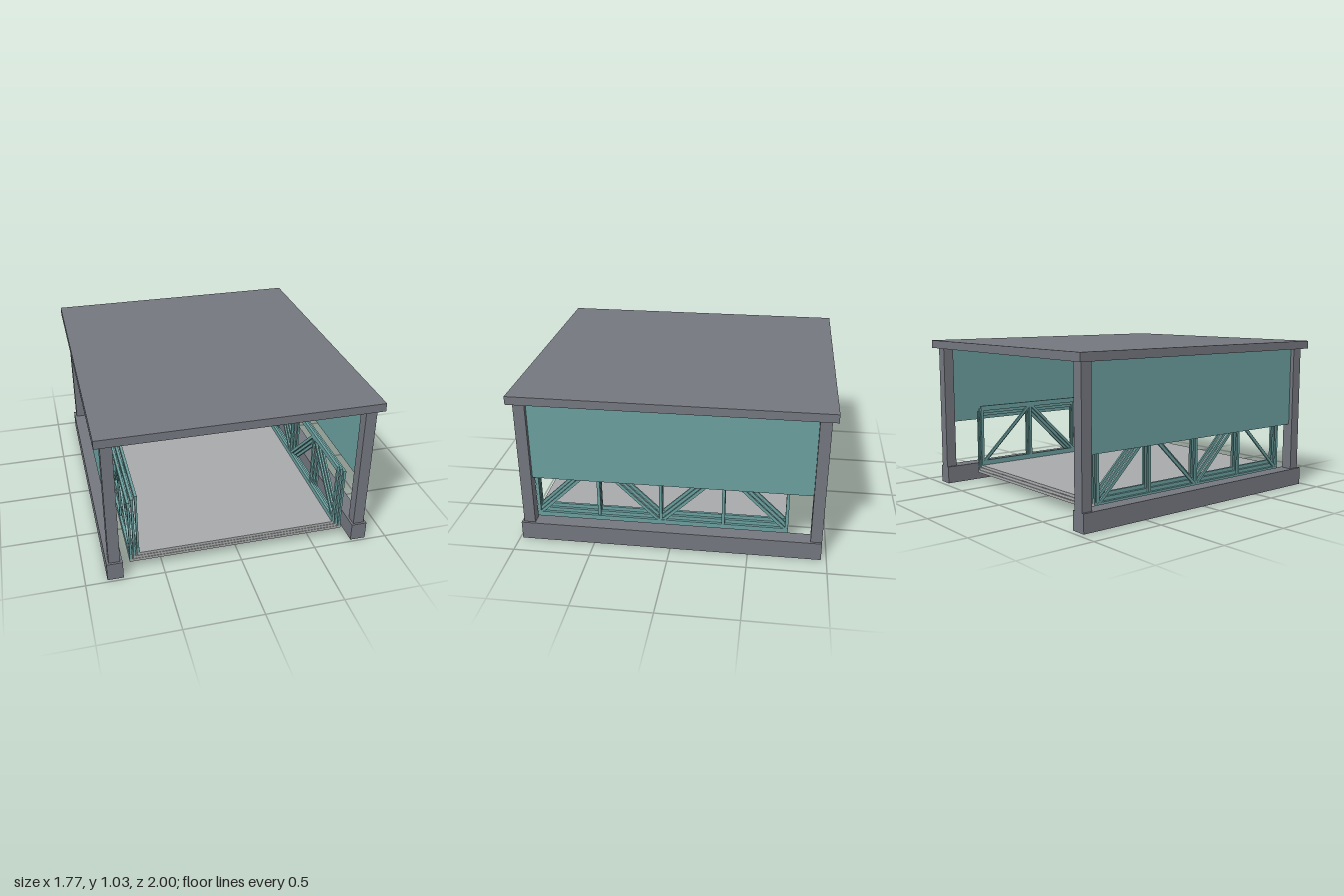
import * as THREE from 'three';

const slate = new THREE.MeshStandardMaterial({ color: 0x74777f });
const teal = new THREE.MeshStandardMaterial({ color: 0x6b9f9e });
const deckGrey = new THREE.MeshStandardMaterial({ color: 0xa8a9aa });

// Box given by its min/max on each axis
function box(parent, name, material, [x0, x1], [y0, y1], [z0, z1]) {
  const mesh = new THREE.Mesh(new THREE.BoxGeometry(x1 - x0, y1 - y0, z1 - z0), material);
  mesh.position.set((x0 + x1) / 2, (y0 + y1) / 2, (z0 + z1) / 2);
  mesh.name = name;
  parent.add(mesh);
  return mesh;
}

// Range on the +x side, mirrored when side is -1
const mirrored = (side, a, b) => (side > 0 ? [a, b] : [-b, -a]);

const FRONT = 0.907, BAY = 0.412, BAYS = 4, BAR = 0.02;
const BACK = FRONT - BAY * BAYS;
const LENGTH = [BACK - BAR / 2, FRONT + BAR / 2];

// One side truss: chords, uprights and zigzag diagonals
function truss(parent, side, outer, bottom) {
  const group = new THREE.Group();
  group.name = side > 0 ? 'leftTruss' : 'rightTruss';
  const height = 0.434, chord = 0.035;
  const wide = mirrored(side, outer - 0.018, outer);
  const thin = mirrored(side, outer - 0.0155, outer - 0.0025);
  const top = bottom + height;
  box(group, 'bottomChord', teal, wide, [bottom, bottom + chord], LENGTH);
  box(group, 'topChord', teal, wide, [top - chord, top], LENGTH);
  for (let i = 0; i <= BAYS; i++) {
    const z = FRONT - i * BAY;
    box(group, 'upright', teal, thin, [bottom + chord, top - chord], [z - BAR / 2, z + BAR / 2]);
  }
  const rise = height - chord;
  for (let i = 0; i < BAYS; i++) {
    const z = FRONT - (i + 0.5) * BAY;
    const half = Math.hypot(BAY, rise) / 2;
    const bar = box(group, 'diagonal', teal, thin, [-BAR / 2, BAR / 2], [-half, half]);
    bar.position.y = bottom + height / 2;
    bar.position.z = z;
    bar.rotation.x = (i % 2 ? -1 : 1) * Math.atan2(rise, BAY);
  }
  parent.add(group);
}

export function createModel() {
  const model = new THREE.Group();
  model.name = 'shelteredBridge';

  // Shelter: roof, foundation beams, posts and hanging side panels
  box(model, 'roof', slate, [-0.885, 0.885], [0.976, 1.03], [-1, 1]);
  for (const side of [1, -1]) {
    box(model, 'foundationBeam', slate, mirrored(side, 0.76, 0.862), [0, 0.12], [-0.965, 0.982]);
    for (const z of [[0.893, 0.967], [-0.965, -0.893]])
      box(model, 'post', slate, mirrored(side, 0.775, 0.847), [0.12, 0.976], z);
    box(model, 'sidePanel', teal, mirrored(side, 0.801, 0.821), [0.44, 0.976], [-0.893, 0.893]);
  }

  // Three nested bridge sections, outermost first
  for (let i = 0; i < 3; i++) {
    const section = new THREE.Group();
    section.name = 'bridgeSection' + (i + 1);
    const outer = 0.709 - i * 0.024;
    const base = 0.061 + i * 0.0215;
    box(section, 'deck', deckGrey, [-outer, outer], [base, base + 0.019], LENGTH);
    for (const side of [1, -1]) truss(section, side, outer, base + 0.019);
    model.add(section);
  }
  return model;
}
